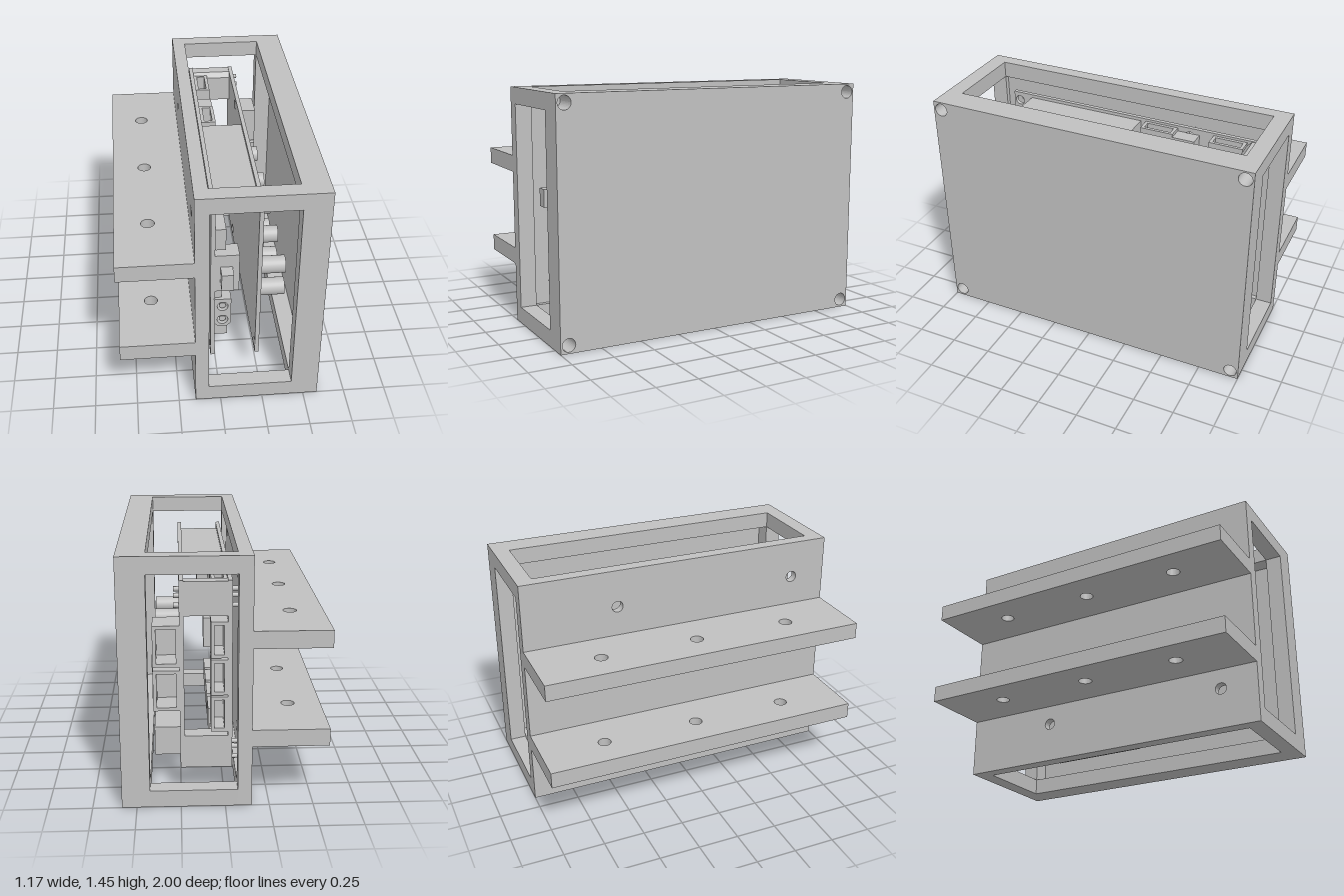
import * as THREE from 'three';

const grey = new THREE.MeshStandardMaterial({ color: 0xc0c0c0 });
grey.name = 'plain grey';

function add(parent, name, geometry) {
  const mesh = new THREE.Mesh(geometry, grey);
  mesh.name = name;
  parent.add(mesh);
  return mesh;
}

// Box from its minimum and maximum on each axis
function box(parent, name, x0, x1, y0, y1, z0, z1) {
  const m = add(parent, name, new THREE.BoxGeometry(x1 - x0, y1 - y0, z1 - z0));
  m.position.set((x0 + x1) / 2, (y0 + y1) / 2, (z0 + z1) / 2);
  return m;
}

const rect = (C, x0, x1, y0, y1) => {
  const p = new C();
  p.moveTo(x0, y0).lineTo(x1, y0).lineTo(x1, y1).lineTo(x0, y1).closePath();
  return p;
};
const circle = (x, y, r) => {
  const p = new THREE.Path();
  p.absarc(x, y, r, 0, Math.PI * 2, true);
  return p;
};
const extrude = (shape, depth) =>
  new THREE.ExtrudeGeometry(shape, { depth, bevelEnabled: false, curveSegments: 16 });

// Plate in the z-y plane, thick along x, with round holes [z, y, r] and an optional window
function sidePlate(parent, name, x0, x1, [z0, z1, y0, y1], holes, window) {
  const s = rect(THREE.Shape, -z1, -z0, y0, y1);
  for (const [z, y, r] of holes) s.holes.push(circle(-z, y, r));
  if (window) s.holes.push(rect(THREE.Path, -window[1], -window[0], window[2], window[3]));
  const m = add(parent, name, extrude(s, x1 - x0).rotateY(Math.PI / 2));
  m.position.x = x0;
}

// Cylinder lying along x
function rod(parent, name, x0, x1, y, z, r, sides = 20) {
  const m = add(parent, name, new THREE.CylinderGeometry(r, r, x1 - x0, sides).rotateZ(Math.PI / 2));
  m.position.set((x0 + x1) / 2, y, z);
}

// Hollow socket: open towards dir ('up', 'down' or 'back'), closed at the other end
function socket(parent, name, x0, x1, y0, y1, z0, z1, dir) {
  const g = new THREE.Group();
  g.name = name;
  parent.add(g);
  const t = 0.02;
  box(g, 'socketSide', x0, x0 + t, y0, y1, z0, z1);
  box(g, 'socketSide', x1 - t, x1, y0, y1, z0, z1);
  const a = x0 + t, b = x1 - t;
  if (dir === 'back') {
    box(g, 'socketEnd', a, b, y0, y0 + t, z0, z1);
    box(g, 'socketEnd', a, b, y1 - t, y1, z0, z1);
    box(g, 'socketFloor', a, b, y0 + t, y1 - t, z1 - t, z1);
  } else {
    box(g, 'socketEnd', a, b, y0, y1, z0, z0 + t);
    box(g, 'socketEnd', a, b, y0, y1, z1 - t, z1);
    const f = dir === 'up' ? y0 : y1 - t;
    box(g, 'socketFloor', a, b, f, f + t, z0 + t, z1 - t);
  }
}

function buildHousing(root) {
  const g = new THREE.Group();
  g.name = 'housing';
  root.add(g);
  const outer = [-1, 1, 0, 1.45], inner = [-0.9, 0.9, 0.1, 1.35];
  const corners = [], mounts = [];
  for (const z of [-0.95, 0.95]) for (const y of [0.05, 1.4]) corners.push([z, y, 0.04]);
  for (const z of [-0.41, 0.77]) for (const y of [0.24, 1.22]) mounts.push([z, y, 0.035]);

  // Layers across the width: wall, lip, corner bars, lip, cover
  sidePlate(g, 'mountingWall', -0.15, -0.1, outer, mounts);
  sidePlate(g, 'wallLip', -0.1, -0.07, outer, [], inner);
  for (const z of [-1, 0.9]) for (const y of [0, 1.35])
    box(g, 'cornerBar', -0.07, 0.425, y, y + 0.1, z, z + 0.1);
  sidePlate(g, 'coverLip', 0.425, 0.53, outer, corners, inner);
  sidePlate(g, 'cover', 0.53, 0.585, outer, corners);

  // Two drilled mounting flanges
  for (const y of [0.36, 0.935]) {
    const s = rect(THREE.Shape, -0.585, -0.15, -1, 1);
    for (const z of [-0.605, 0, 0.605]) s.holes.push(circle(-0.39, -z, 0.04));
    add(g, 'flange', extrude(s, 0.1).rotateX(-Math.PI / 2)).position.y = y;
  }
}

function buildElectronics(root) {
  const g = new THREE.Group();
  g.name = 'electronics';
  root.add(g);

  // Two parallel circuit boards
  const holes = [];
  for (const z of [-0.41, 0.77]) for (const y of [0.23, 1.23]) holes.push([z, y, 0.03]);
  sidePlate(g, 'innerBoard', -0.045, -0.02, [-0.87, 0.81, 0.18, 1.285], holes);
  sidePlate(g, 'outerBoard', 0.225, 0.25, [-0.87, 0.81, 0.18, 1.285], holes);

  // Bevelled connectors joining the boards at the back, top and bottom
  for (const [y, s] of [[1.28, -1], [0.18, 1]]) {
    const p = new THREE.Shape();
    p.moveTo(0.87, y).lineTo(0.8, y).lineTo(0.77, y + s * 0.03)
      .lineTo(0.77, y + s * 0.195).lineTo(0.87, y + s * 0.195).closePath();
    add(g, 'boardConnector', extrude(p, 0.245).rotateY(Math.PI / 2)).position.x = -0.02;
  }

  // Solder pins
  for (const [y, z] of [[1.23, -0.83], [1.185, -0.8], [1.14, -0.84], [0.325, -0.83], [0.28, -0.8], [0.235, -0.84]]) {
    rod(g, 'pin', -0.085, -0.045, y, z, 0.014, 10);
    if (y > 1) rod(g, 'pin', 0.25, 0.28, y, z, 0.014, 10);
  }

  // Large module between the boards
  box(g, 'largeModule', -0.02, 0.225, 1.17, 1.265, -0.085, 0.68);

  // Sockets along the top, bottom and back edges
  for (const z of [-0.77, -0.33]) socket(g, 'topSocket', -0.02, 0.07, 1.12, 1.27, z, z + 0.21, 'up');
  box(g, 'topChip', -0.02, 0.07, 1.14, 1.25, -0.47, -0.33);
  for (const z of [-0.77, -0.33, -0.08, 0.17, 0.42])
    socket(g, 'bottomSocket', -0.02, 0.075, 0.18, 0.32, z, z + 0.21, 'down');
  for (const y of [0.4, 0.62, 0.84]) socket(g, 'backSocket', -0.02, 0.075, y, y + 0.21, -0.87, -0.69, 'back');
  for (const y of [0.53, 0.79]) socket(g, 'sideSocket', 0.25, 0.4, y, y + 0.24, -0.87, -0.69, 'back');
  box(g, 'sideBlock', 0.25, 0.4, 0.18, 0.355, -0.69, -0.06);

  // Capacitors on the outer board
  [-0.61, -0.27, 0.035, 0.345, 0.65].forEach((z) => {
    for (const y of [0.56, 0.725]) rod(g, 'capacitor', 0.25, 0.41, y, z, 0.053, 28);
  });

  // Components at the front of the inner board
  box(g, 'frontBlock', -0.02, 0.12, 0.675, 0.93, 0.7, 0.81);
  box(g, 'frontButton', 0.01, 0.08, 0.74, 0.85, 0.81, 0.89);
  box(g, 'upperBlock', -0.02, 0.04, 0.98, 1.12, 0.67, 0.82);
  box(g, 'smallChip', -0.02, 0.02, 0.62, 0.675, 0.67, 0.8);

  // Two-pole power connector with chamfered corners
  const s = new THREE.Shape();
  s.moveTo(0, 0.415).lineTo(0.05, 0.415).lineTo(0.075, 0.44).lineTo(0.075, 0.62)
    .lineTo(-0.025, 0.62).lineTo(-0.025, 0.44).closePath();
  for (const y of [0.465, 0.565]) s.holes.push(circle(0.025, y, 0.032));
  add(g, 'powerConnector', extrude(s, 0.14)).position.z = 0.68;
  for (const y of [0.465, 0.565]) {
    const pole = add(g, 'powerPole', new THREE.CylinderGeometry(0.02, 0.02, 0.13, 16).rotateX(Math.PI / 2));
    pole.position.set(0.025, y, 0.745);
  }
  box(g, 'powerBase', -0.02, 0.075, 0.4, 0.62, 0.64, 0.68);
}

export function createModel() {
  const root = new THREE.Group();
  root.name = 'electronicsEnclosure';
  buildHousing(root);
  buildElectronics(root);
  return root;
}
